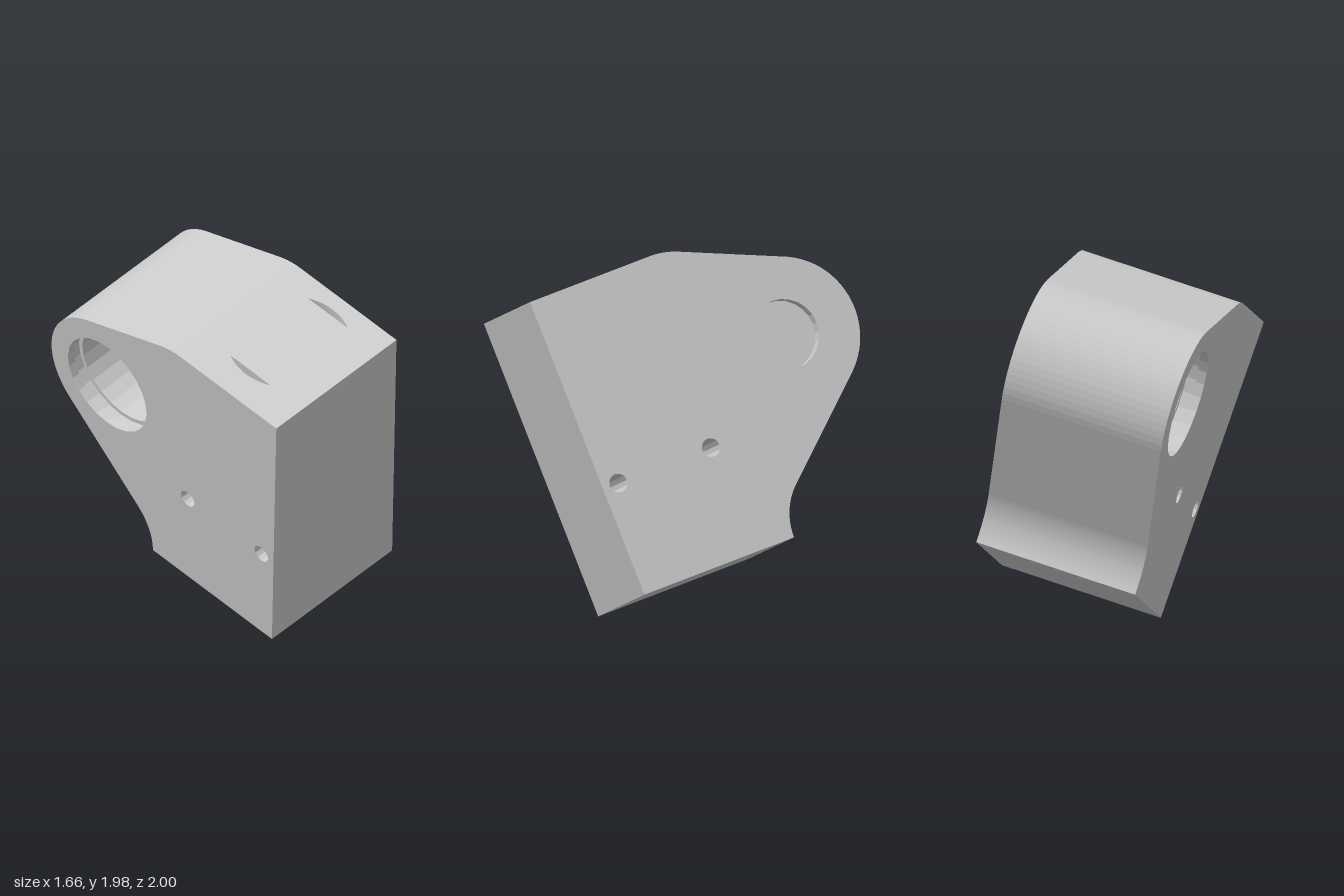
import * as THREE from 'three';

const WIDTH = 0.893, HEIGHT = 1.646, TOP_DEPTH = 0.70;
const material = new THREE.MeshStandardMaterial({ color: 0xcccccc, flatShading: true });
const inner = new THREE.MeshStandardMaterial({ color: 0xcccccc, flatShading: true, side: THREE.DoubleSide });
const rad = THREE.MathUtils.degToRad;

function add(parent, name, geometry, mat = material) {
  const mesh = new THREE.Mesh(geometry, mat);
  mesh.name = name;
  parent.add(mesh);
  return mesh;
}

// Wall standing on a line of 2D points, from z0 to z1
function ribbon(points, z0, z1) {
  const pos = [];
  for (let i = 0; i < points.length - 1; i++) {
    const p = points[i], q = points[i + 1];
    pos.push(p.x, p.y, z0, q.x, q.y, z0, q.x, q.y, z1);
    pos.push(p.x, p.y, z0, q.x, q.y, z1, p.x, p.y, z1);
  }
  const g = new THREE.BufferGeometry();
  g.setAttribute('position', new THREE.Float32BufferAttribute(pos, 3));
  g.computeVertexNormals();
  return g;
}

function circle(x, y, r, n) {
  return Array.from({ length: n }, (_, i) => {
    const a = (i / n) * Math.PI * 2;
    return new THREE.Vector2(x + r * Math.cos(a), y + r * Math.sin(a));
  });
}

// Turned cavity along z, given as [radius, z] pairs
function cavity(parent, name, x, y, profile, n) {
  const g = new THREE.LatheGeometry(profile.map(([r, z]) => new THREE.Vector2(r, z)), n);
  g.rotateX(Math.PI / 2);
  add(parent, name, g, inner).position.set(x, y, 0);
}

// Side outline; the flat top is left open for its own face
function outline() {
  const s = new THREE.Shape();
  s.moveTo(0, HEIGHT);
  s.lineTo(0, 0);
  s.lineTo(0.88, 0);
  s.absarc(1.22, 0, 0.34, Math.PI, rad(132), true);
  s.absarc(1.236, 1.01, 0.412, rad(-48), rad(66), false);
  s.lineTo(0.87, 1.61);
  s.quadraticCurveTo(0.79, HEIGHT, TOP_DEPTH, HEIGHT);
  return s.getPoints(10);
}

export function createModel() {
  const model = new THREE.Group();
  model.name = 'bracket';

  // Body frame: x runs to the back, y up the front face, z across the width
  const body = new THREE.Group();
  body.name = 'body';
  const w = new THREE.Vector3(0.885, 0.2745, -0.375).normalize();
  const u = new THREE.Vector3(-0.1215, 0.917, 0.38).cross(w).normalize();
  const v = w.clone().cross(u);
  body.quaternion.setFromRotationMatrix(new THREE.Matrix4().makeBasis(u, v, w));
  body.position.set(0.032, 0.003, 0.378);
  model.add(body);

  const points = outline();
  const bore = [1.236, 1.01], pins = [[0.09, 0.595], [0.634, 0.595]];
  add(body, 'outerWall', ribbon(points, 0, WIDTH));

  // Side plates with the bore and pin holes
  const plate = (radius) => {
    const shape = new THREE.Shape(points);
    shape.holes.push(new THREE.Path(circle(...bore, radius, 24)));
    for (const p of pins) shape.holes.push(new THREE.Path(circle(...p, 0.05, 12)));
    return new THREE.ShapeGeometry(shape);
  };
  add(body, 'leftPlate', plate(0.188)).position.z = WIDTH;
  const right = plate(0.29), index = right.index.array;
  for (let i = 0; i < index.length; i += 3) [index[i], index[i + 1]] = [index[i + 1], index[i]];
  right.computeVertexNormals();
  add(body, 'rightPlate', right);

  // Grooved bore from one side, shallow recess from the other, through pin holes
  cavity(body, 'groovedBore', ...bore,
    [[0, 0.7], [0.29, 0.7], [0.29, 0.107], [0.315, 0.107], [0.315, 0.047], [0.29, 0.047], [0.29, 0]], 24);
  cavity(body, 'shallowRecess', ...bore, [[0.188, WIDTH], [0.188, WIDTH - 0.07], [0, WIDTH - 0.07]], 24);
  for (const p of pins) cavity(body, 'pinHole', ...p, [[0.05, WIDTH], [0.05, 0]], 12);

  // Top face with two crescent pockets lying on one circle
  const top = new THREE.Group();
  top.name = 'top';
  top.position.y = HEIGHT;
  top.rotation.x = -Math.PI / 2;
  body.add(top);
  const face = new THREE.Shape();
  face.moveTo(0, -WIDTH).lineTo(TOP_DEPTH, -WIDTH).lineTo(TOP_DEPTH, 0).lineTo(0, 0);
  const half = rad(27), depth = 0.1;
  for (const middle of [Math.PI / 2, -Math.PI / 2]) {
    const arc = new THREE.Path();
    arc.absarc(0.384, -0.4825, 0.323, middle - half, middle + half, false);
    const rim = arc.getPoints(10);
    face.holes.push(new THREE.Path(rim));
    add(top, 'pocketWall', ribbon([...rim, rim[0]].reverse(), -depth, 0), inner);
    add(top, 'pocketFloor', new THREE.ShapeGeometry(new THREE.Shape(rim))).position.z = -depth;
  }
  add(top, 'topFace', new THREE.ShapeGeometry(face));
  return model;
}
